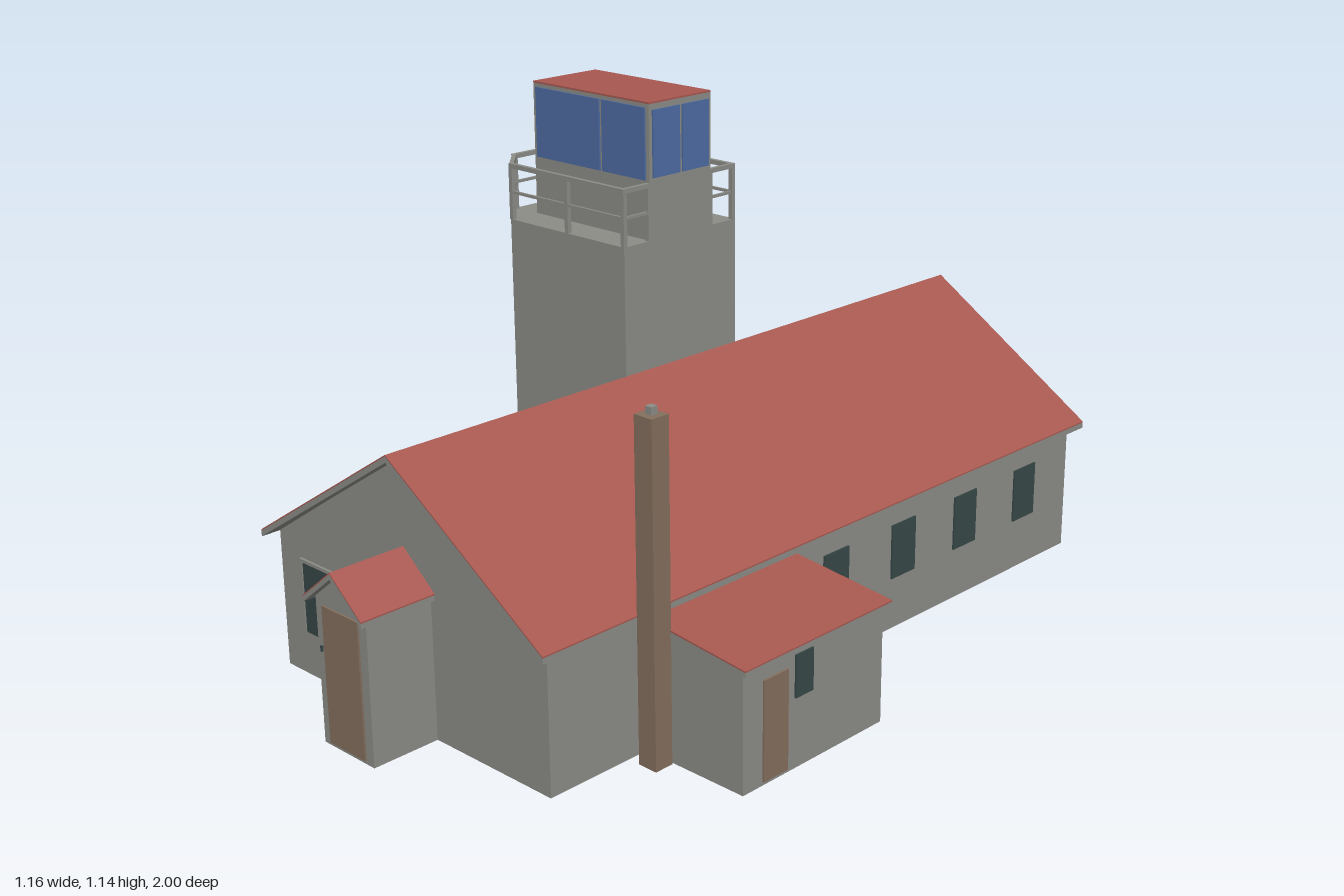
import * as THREE from 'three';

const mat = (name, color) => {
  const m = new THREE.MeshStandardMaterial({ color });
  m.name = name;
  m.flatShading = true;
  return m;
};

export function createModel() {
  const root = new THREE.Group();
  root.name = 'towerBuilding';
  const wall = mat('wallGrey', 0x8b8c86);
  const red = mat('roofRed', 0xa75850);
  const brown = mat('woodBrown', 0x846f5d);
  const glass = mat('darkGlass', 0x374746);
  const blue = mat('blueGlass', 0x4d6ba3);

  const add = (name, geo, material, x = 0, y = 0, z = 0, ry = 0) => {
    const m = new THREE.Mesh(geo, material);
    m.name = name;
    m.position.set(x, y, z);
    m.rotation.y = ry;
    root.add(m);
    return m;
  };
  const shape = pts => new THREE.Shape(pts.map(p => new THREE.Vector2(p[0], p[1])));
  const extrude = (pts, depth) =>
    new THREE.ExtrudeGeometry(shape(pts), { depth, bevelEnabled: false });

  // box given by its min and max corners
  const box = (name, x0, x1, y0, y1, z0, z1, m) =>
    add(name, new THREE.BoxGeometry(x1 - x0, y1 - y0, z1 - z0), m,
      (x0 + x1) / 2, (y0 + y1) / 2, (z0 + z1) / 2);
  // profile in x,y drawn out along z
  const prism = (name, pts, z0, z1, m) => add(name, extrude(pts, z1 - z0), m, 0, 0, z0);
  // outline in x,z raised from y0 to y1; the top may slope up with x
  const raise = (name, pts, y0, y1, m, slope = 0, slopeBottom = false) => {
    const g = extrude(pts.map(([x, z]) => [x, -z]), y1 - y0).rotateX(-Math.PI / 2);
    const p = g.attributes.position;
    for (let i = 0; i < p.count; i++)
      if (slopeBottom || p.getY(i) > 0.001) p.setY(i, p.getY(i) + (p.getX(i) + 0.58) * slope);
    g.computeVertexNormals();
    return add(name, g, m, 0, y0, 0);
  };
  // thin upright panel, turned to face along angle ry
  const panel = (name, w, y0, y1, x, z, ry, m) =>
    add(name, new THREE.BoxGeometry(w, y1 - y0, 0.008), m, x, (y0 + y1) / 2, z, ry);
  // two-pitch roof: grey slab with a thin red covering
  const gableRoof = (name, cx, half, eave, ridge, t, z0, z1) => {
    const layer = (top, bottom) => [
      [cx - half, eave - bottom], [cx, ridge - bottom], [cx + half, eave - bottom],
      [cx + half, eave - top], [cx, ridge - top], [cx - half, eave - top]];
    prism(name + 'Slab', layer(0.003, t), z0, z1, wall);
    prism(name + 'Covering', layer(0, 0.003), z0, z1, red);
  };

  // main hall
  prism('hallWalls', [[-0.51, 0], [0.31, 0], [0.31, 0.305], [-0.1, 0.572], [-0.51, 0.305]],
    -0.825, 0.825, wall);
  gableRoof('hallRoof', -0.1, 0.433, 0.309, 0.585, 0.016, -0.855, 0.855);
  for (const z of [0.015, -0.21, -0.43, -0.655])
    panel('rightWindow', 0.08, 0.12, 0.245, 0.31, z, Math.PI / 2, glass);
  for (const z of [-0.42, -0.27, 0.27, 0.42])
    panel('leftWindow', 0.1, 0.095, 0.265, -0.51, z, -Math.PI / 2, glass);

  // porches and gable windows on both ends
  for (const s of [1, -1]) {
    const [a, b] = s > 0 ? [0.8, 0.98] : [-0.98, -0.8];
    prism('porchWalls', [[-0.175, 0], [-0.02, 0], [-0.02, 0.315], [-0.0975, 0.378], [-0.175, 0.315]],
      a, b, wall);
    gableRoof('porchRoof', -0.098, 0.09, 0.317, 0.39, 0.014, s > 0 ? 0.8 : -1, s > 0 ? 1 : -0.8);
    panel('porchDoor', 0.11, 0.008, 0.3, -0.098, s * 0.98, 0, brown);
    panel('doorHandle', 0.005, 0.2, 0.212, -0.163, s * 0.98, 0, glass);
    panel('endWindow', 0.155, 0.1, 0.257, -0.355, s * 0.825, 0, glass);
    for (const x of [-0.437, -0.273])
      box('endWindowFrame', x - 0.004, x + 0.004, 0.098, 0.264, s * 0.825 - 0.006, s * 0.825 + 0.006, wall);
    box('endWindowHead', -0.441, -0.269, 0.257, 0.264, s * 0.825 - 0.006, s * 0.825 + 0.006, wall);
  }

  // windows on the three outer faces of a bay
  const bayWindows = path => {
    for (let i = 0; i < 3; i++) {
      const [a, b] = [path[i], path[i + 1]];
      const dx = b[0] - a[0], dz = b[1] - a[1];
      panel('bayWindow', Math.hypot(dx, dz) * 0.84, 0.095, 0.265,
        (a[0] + b[0]) / 2, (a[1] + b[1]) / 2, Math.atan2(dz, -dx), glass);
    }
  };

  // bays near both ends of the left side
  for (const c of [0.652, -0.652]) {
    const path = [[-0.51, c + 0.158], [-0.58, c + 0.088], [-0.58, c - 0.088], [-0.51, c - 0.158]];
    const outline = [[-0.46, c + 0.158], ...path, [-0.46, c - 0.158]];
    raise('bayWalls', outline, 0, 0.29, wall, 0.33);
    raise('bayRoof', outline, 0.29, 0.296, red, 0.33, true);
    bayWindows(path);
  }

  // tower
  const towerPath = [[-0.51, 0.17], [-0.58, 0.1], [-0.58, -0.1], [-0.51, -0.17]];
  raise('towerWalls', [[-0.152, 0.17], ...towerPath, [-0.152, -0.17]], 0, 0.845, wall);
  bayWindows(towerPath);

  // lookout cabin
  box('cabinWalls', -0.51, -0.152, 0.84, 1.138, -0.093, 0.093, wall);
  box('cabinRoof', -0.51, -0.152, 1.138, 1.142, -0.093, 0.093, red);
  for (const s of [1, -1]) {
    panel('cabinWindow', 0.2, 0.975, 1.13, -0.4, s * 0.093, 0, blue);
    panel('cabinWindow', 0.13, 0.975, 1.13, -0.227, s * 0.093, 0, blue);
    for (const x of [-0.51, -0.152])
      panel('cabinEndWindow', 0.08, 0.98, 1.125, x, s * 0.044, Math.PI / 2, blue);
  }

  // balcony railing
  const rail = [[-0.157, 0.093], [-0.157, 0.165], [-0.33, 0.165], [-0.508, 0.165], [-0.575, 0.098],
    [-0.575, 0], [-0.575, -0.098], [-0.508, -0.165], [-0.33, -0.165], [-0.157, -0.165], [-0.157, -0.093]];
  rail.forEach(([x, z], i) => {
    box('railPost', x - 0.005, x + 0.005, 0.845, 0.97, z - 0.005, z + 0.005, wall);
    if (i === rail.length - 1) return;
    const [x2, z2] = rail[i + 1];
    const len = Math.hypot(x2 - x, z2 - z), ang = Math.atan2(-(z2 - z), x2 - x);
    for (const [y, t] of [[0.965, 0.01], [0.906, 0.006]])
      add('railBar', new THREE.BoxGeometry(len, t, t), wall, (x + x2) / 2, y, (z + z2) / 2, ang);
  });

  // side annex with lean-to roof
  prism('annexWalls', [[0.3, 0], [0.565, 0], [0.565, 0.255], [0.3, 0.281]], 0.172, 0.575, wall);
  prism('annexRoofSlab', [[0.3, 0.278], [0.58, 0.252], [0.58, 0.263], [0.3, 0.291]], 0.162, 0.585, wall);
  prism('annexRoofCovering', [[0.3, 0.291], [0.58, 0.263], [0.58, 0.266], [0.3, 0.295]], 0.162, 0.585, red);
  panel('annexDoor', 0.068, 0.008, 0.22, 0.565, 0.487, Math.PI / 2, brown);
  panel('annexWindow', 0.05, 0.15, 0.24, 0.565, 0.407, Math.PI / 2, glass);

  // chimney
  box('chimney', 0.342, 0.388, 0.003, 0.716, 0.583, 0.627, brown);
  box('chimneyCap', 0.357, 0.373, 0.716, 0.732, 0.597, 0.613, wall);

  return root;
}
